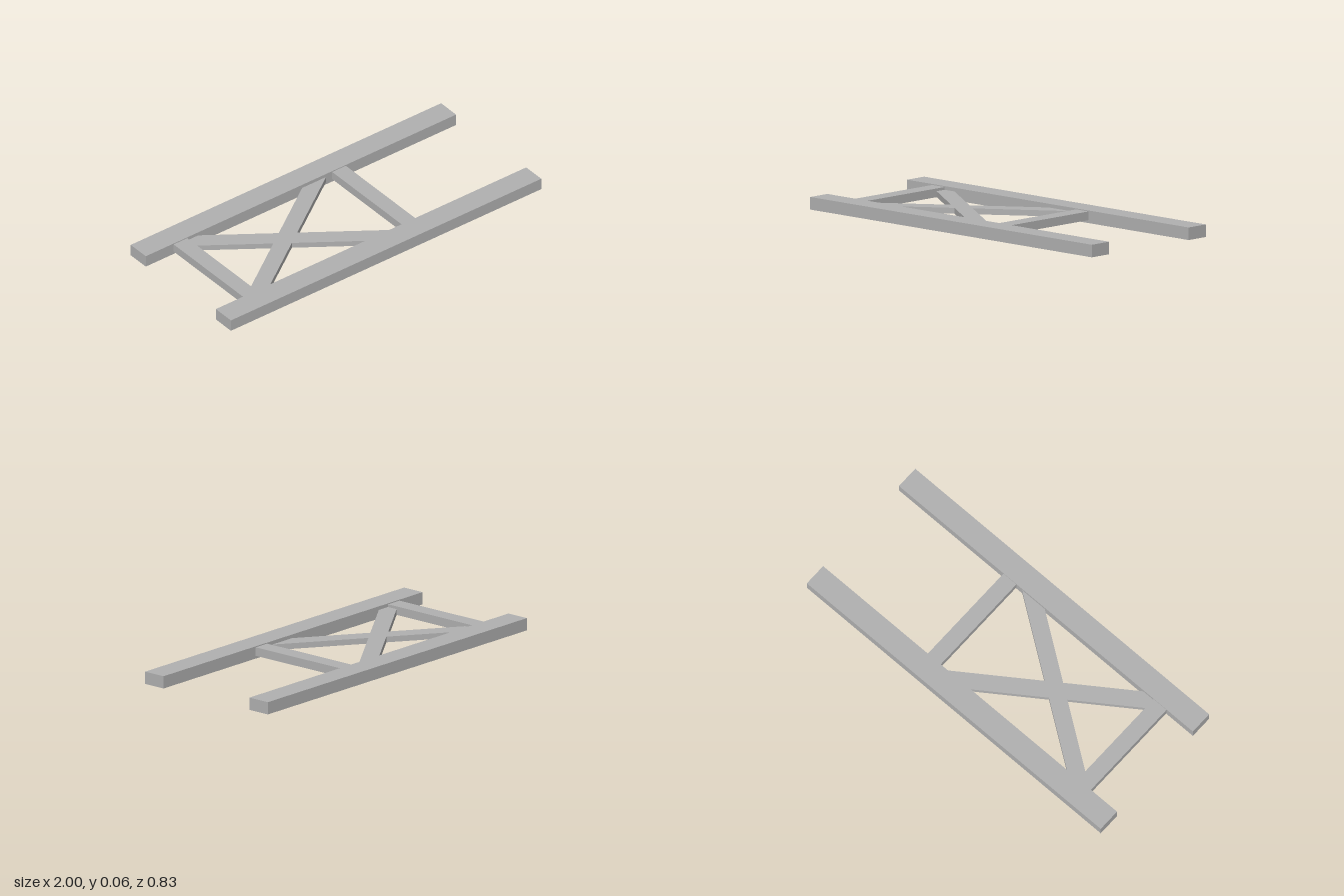
import * as THREE from 'three';

const RAIL_INNER = 0.29;

export function createModel() {
  const group = new THREE.Group();
  const steel = new THREE.MeshStandardMaterial({ color: 0xb0b0b0 });
  steel.name = 'grey steel';

  const add = (name, geometry, x, y, z) => {
    const mesh = new THREE.Mesh(geometry, steel);
    mesh.name = name;
    mesh.position.set(x, y, z);
    group.add(mesh);
    return mesh;
  };

  // Two long side rails
  const rail = new THREE.BoxGeometry(2, 0.065, 0.125);
  add('frontRail', rail, 0, 0.0325, 0.3525);
  add('backRail', rail, 0, 0.0325, -0.3525);

  // Cross members between the rails
  const member = new THREE.BoxGeometry(0.088, 0.045, 2 * RAIL_INNER);
  add('rightCrossMember', member, -0.777, 0.0375, 0);
  add('leftCrossMember', member, 0.245, 0.0375, 0);

  // Diagonal braces with ends mitred against the rails
  const reach = 0.412, half = 0.077;
  for (const s of [1, -1]) {
    const outline = new THREE.Shape([
      new THREE.Vector2(-s * reach - half, -RAIL_INNER),
      new THREE.Vector2(-s * reach + half, -RAIL_INNER),
      new THREE.Vector2(s * reach + half, RAIL_INNER),
      new THREE.Vector2(s * reach - half, RAIL_INNER),
    ]);
    const brace = new THREE.ExtrudeGeometry(outline, { depth: 0.03, bevelEnabled: false });
    brace.rotateX(Math.PI / 2);
    add(s > 0 ? 'diagonalBrace' : 'counterBrace', brace, -0.327, 0.046, 0);
  }

  return group;
}
